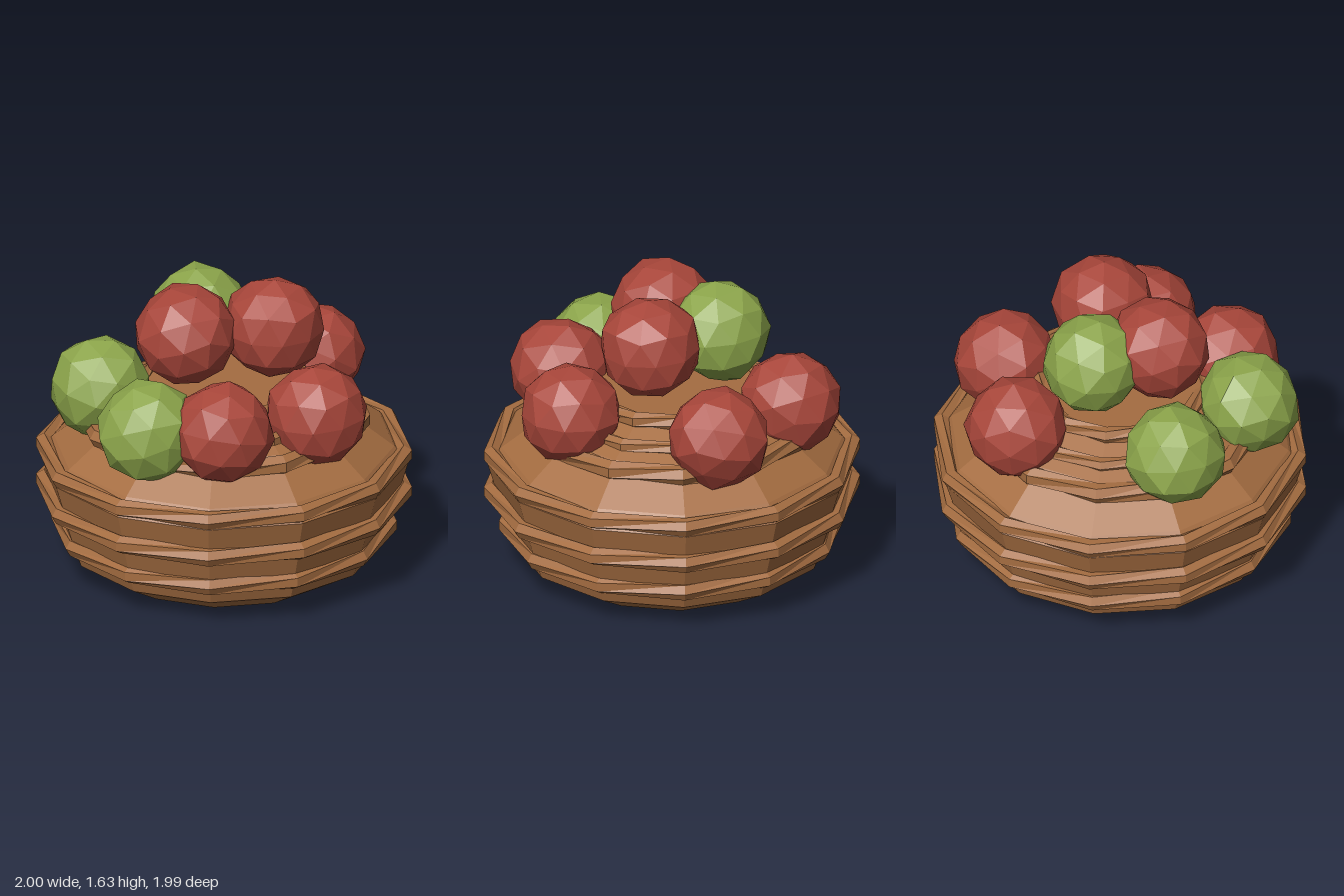
import * as THREE from 'three';

const mat = (name, color) => {
  const m = new THREE.MeshStandardMaterial({ color, flatShading: true });
  m.name = name;
  return m;
};

// Small repeatable hash so each fruit is slightly irregular
const hash = (a, b, c, seed) => {
  const s = Math.sin(a * 12.99 + b * 78.23 + c * 37.72 + seed * 4.17) * 43758.55;
  return s - Math.floor(s);
};

function fruitGeometry(radius, seed) {
  const g = new THREE.IcosahedronGeometry(1, 1);
  const p = g.attributes.position;
  const v = new THREE.Vector3();
  for (let i = 0; i < p.count; i++) {
    v.fromBufferAttribute(p, i);
    // rounding keeps coincident corners together
    const [a, b, c] = v.toArray().map((n) => Math.round(n * 100) / 100 + 0);
    v.multiplyScalar(radius * (0.96 + 0.08 * hash(a, b, c, seed)));
    p.setXYZ(i, v.x, v.y, v.z);
  }
  g.rotateX(seed * 1.3);
  g.rotateY(seed * 2.1);
  g.computeVertexNormals();
  return g;
}

// Twelve-sided hoop whose six-sided tube makes one full twist
function hoopGeometry(radius, tube) {
  const g = new THREE.TorusGeometry(radius, tube, 6, 12);
  const p = g.attributes.position;
  for (let j = 0; j <= 6; j++) {
    for (let i = 0; i <= 12; i++) {
      const u = (i / 12) * Math.PI * 2;
      const w = (j / 6) * Math.PI * 2 + u;
      const r = radius + tube * Math.cos(w);
      p.setXYZ(j * 13 + i, r * Math.cos(u), r * Math.sin(u), tube * Math.sin(w));
    }
  }
  g.rotateX(-Math.PI / 2);
  g.computeVertexNormals();
  return g;
}

export function createModel() {
  const model = new THREE.Group();
  model.name = 'fruitBasket';
  const wicker = mat('wicker brown', 0xa56d41);
  const red = mat('apple red', 0xa8463a);
  const green = mat('apple green', 0x8ba44a);

  const basket = new THREE.Group();
  basket.name = 'basket';
  model.add(basket);

  // Basket body with closed, domed top
  const profile = [
    [0, 0], [0.62, 0], [0.83, 0.12], [0.87, 0.23], [0.92, 0.39], [0.94, 0.48],
    [0.975, 0.6], [0.9, 0.69], [0.74, 0.81], [0.69, 0.88], [0.46, 0.98], [0.42, 1.03], [0, 1.03],
  ].map(([x, y]) => new THREE.Vector2(x, y));
  const body = new THREE.Mesh(new THREE.LatheGeometry(profile, 12), wicker);
  body.name = 'basketBody';
  basket.add(body);

  // Woven hoops: height, radius, tube
  [
    [0.235, 0.87, 0.05], [0.435, 0.95, 0.05], [0.645, 0.95, 0.05],
    [0.84, 0.725, 0.055], [0.925, 0.59, 0.04], [1.01, 0.44, 0.045],
  ].forEach(([y, r, t], i) => {
    const hoop = new THREE.Mesh(hoopGeometry(r, t), wicker);
    hoop.name = `hoop${i + 1}`;
    hoop.position.y = y;
    basket.add(hoop);
  });

  // Apples: x, y, z, colour
  [
    [-0.53, 1.0, 0.38, green],
    [-0.01, 0.99, 0.69, green],
    [0.35, 1.01, 0.52, red],
    [0.62, 1.01, 0.04, red],
    [0.13, 1.0, -0.63, red],
    [-0.43, 1.0, -0.48, red],
    [-0.09, 1.36, 0.22, red],
    [0.23, 1.36, -0.13, red],
    [-0.23, 1.32, -0.11, green],
  ].forEach(([x, y, z, m], i) => {
    const apple = new THREE.Mesh(fruitGeometry(0.272, i + 1), m);
    apple.name = `${m === red ? 'redApple' : 'greenApple'}${i + 1}`;
    apple.position.set(x, y, z);
    model.add(apple);
  });

  return model;
}
